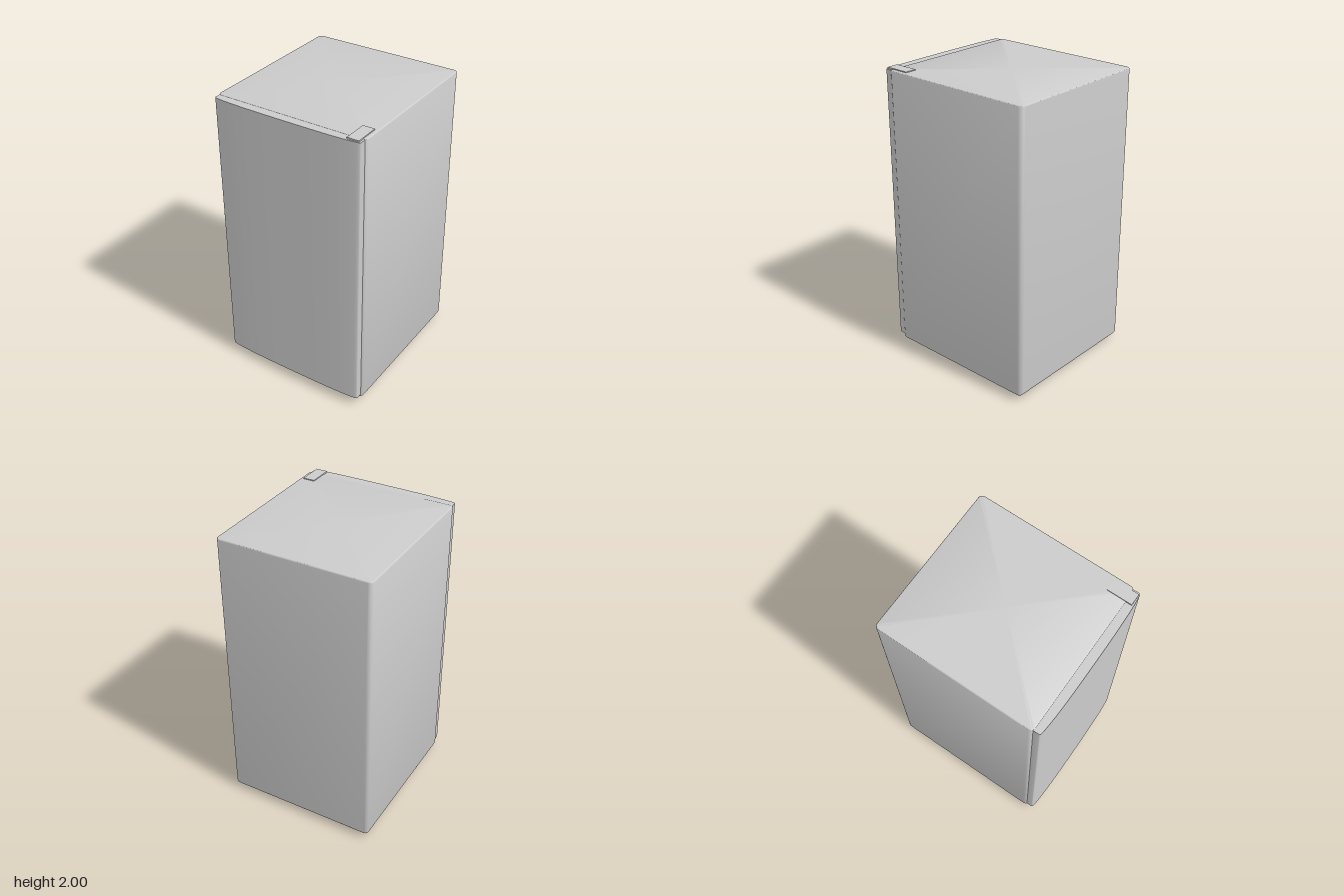
import * as THREE from 'three';
import { toCreasedNormals } from 'three/addons/utils/BufferGeometryUtils.js';

const material = new THREE.MeshStandardMaterial({ color: 0xcccccc });

function add(group, name, geometry, x = 0, y = 0, z = 0) {
  const mesh = new THREE.Mesh(geometry, material);
  mesh.name = name;
  mesh.position.set(x, y, z);
  group.add(mesh);
}

// Rounded rectangle outline in plan, returned as [x, z] points
function outline(halfX, halfZ, r, steps = 6) {
  const points = [];
  for (let corner = 0; corner < 4; corner++) {
    const sx = corner === 0 || corner === 3 ? 1 : -1;
    const sz = corner < 2 ? 1 : -1;
    for (let i = 0; i <= steps; i++) {
      const a = (corner + i / steps) * Math.PI / 2;
      points.push([sx * (halfX - r) + r * Math.cos(a), sz * (halfZ - r) + r * Math.sin(a)]);
    }
  }
  return points;
}

// Cabinet shell: stacked outlines, with a wide bottom round and a tight top round
function cabinetGeometry(halfX, halfZ, y0, y1, cornerR, bottomR, topR) {
  const profile = [];
  const steps = 6;
  for (let i = 0; i <= steps; i++) {
    const a = i / steps * Math.PI / 2;
    profile.push([bottomR * (1 - Math.sin(a)), y0 + bottomR * (1 - Math.cos(a))]);
  }
  for (let i = 0; i <= steps; i++) {
    const a = i / steps * Math.PI / 2;
    profile.push([topR * (1 - Math.cos(a)), y1 - topR * (1 - Math.sin(a))]);
  }
  const positions = [], index = [];
  let n = 0;
  for (const [inset, y] of profile) {
    const ring = outline(halfX - inset, halfZ - inset, Math.max(cornerR - inset, 0.003));
    n = ring.length;
    for (const [x, z] of ring) positions.push(x, y, z);
  }
  const last = (profile.length - 1) * n;
  const bottom = positions.length / 3, top = bottom + 1;
  positions.push(0, y0, 0, 0, y1, 0);
  for (let i = 0; i < n; i++) {
    const j = (i + 1) % n;
    for (let k = 0; k < last; k += n) {
      index.push(k + i, k + n + i, k + j, k + j, k + n + i, k + n + j);
    }
    index.push(bottom, i, j, top, last + j, last + i);
  }
  const geometry = new THREE.BufferGeometry();
  geometry.setAttribute('position', new THREE.Float32BufferAttribute(positions, 3));
  geometry.setIndex(index);
  return toCreasedNormals(geometry, Math.PI / 6);
}

// Door: bowed plan shape extruded upwards (shape y becomes -z)
function doorGeometry(halfX, back, edge, front, height) {
  const shape = new THREE.Shape();
  shape.moveTo(halfX, -back);
  shape.lineTo(-halfX, -back);
  shape.lineTo(-halfX, -edge);
  shape.quadraticCurveTo(-halfX, -edge - 0.008, -halfX + 0.02, -edge - 0.011);
  shape.bezierCurveTo(-0.38, -front + 0.001, -0.2, -front, 0, -front);
  shape.bezierCurveTo(0.2, -front, 0.38, -front + 0.001, halfX - 0.02, -edge - 0.011);
  shape.quadraticCurveTo(halfX, -edge - 0.008, halfX, -edge);
  shape.closePath();
  const geometry = new THREE.ExtrudeGeometry(shape, { depth: height, bevelEnabled: false, curveSegments: 12 });
  geometry.rotateX(-Math.PI / 2);
  return toCreasedNormals(geometry, Math.PI / 6);
}

export function createModel() {
  const group = new THREE.Group();
  group.name = 'refrigerator';

  add(group, 'cabinet', cabinetGeometry(0.53, 0.55, 0.03, 1.994, 0.03, 0.03, 0.01), 0, 0, -0.03);
  add(group, 'door', doorGeometry(0.518, 0.515, 0.555, 0.58, 1.928), 0, 0.062, 0);

  // Hinge cover bridging cabinet and door
  add(group, 'hingeCover', new THREE.BoxGeometry(0.08, 0.014, 0.17), 0.465, 1.993, 0.475);

  // Feet
  for (const x of [-0.473, 0.447]) {
    for (const z of [0.463, -0.505]) {
      add(group, 'foot', new THREE.CylinderGeometry(0.025, 0.025, 0.04, 24), x, 0.02, z);
    }
  }
  return group;
}
